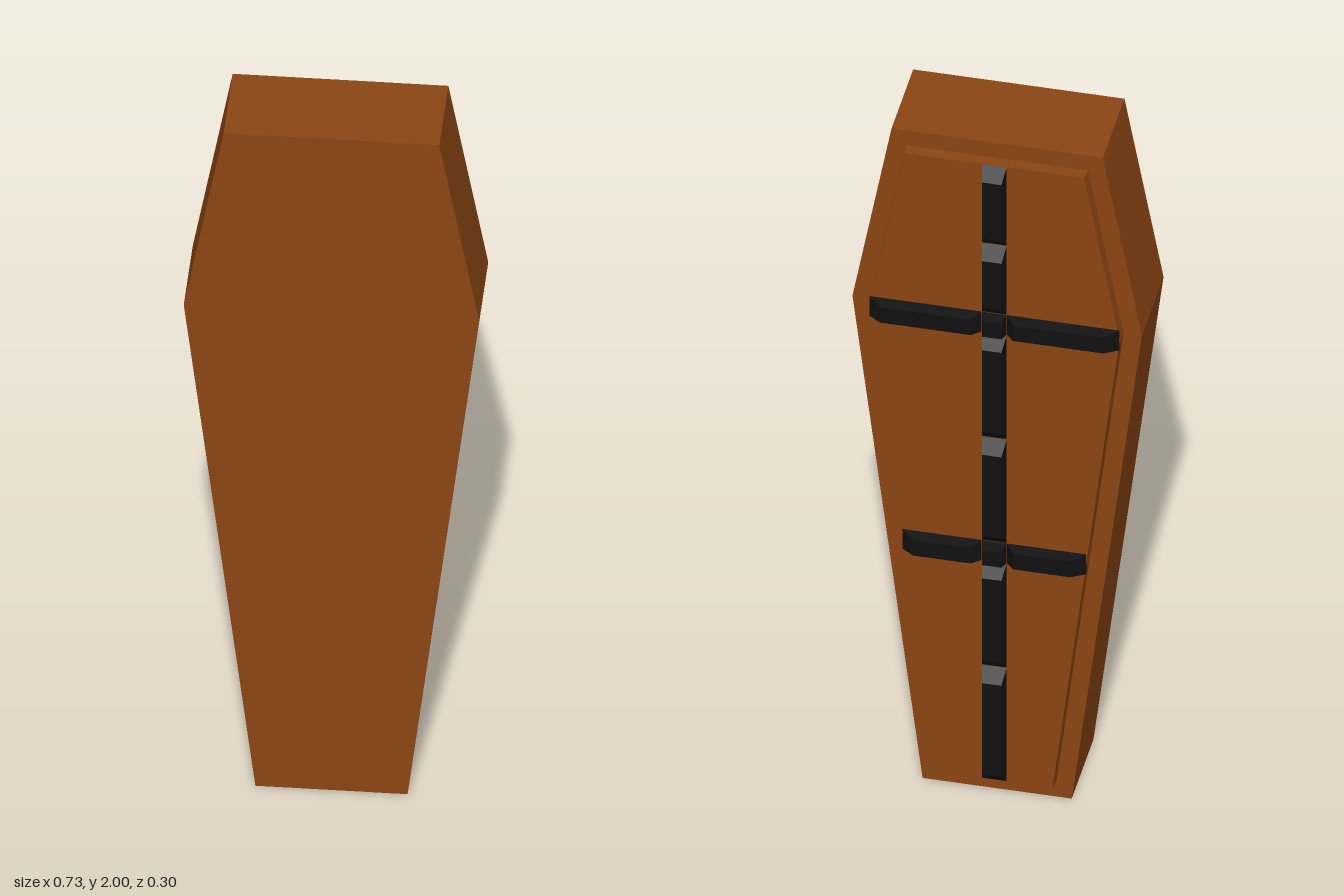
import * as THREE from 'three';

const wood = new THREE.MeshStandardMaterial({ color: 0x8b4513, flatShading: true });
const iron = new THREE.MeshStandardMaterial({ color: 0x111111, flatShading: true });

// Six-sided slab given its half widths and heights; the back (-z) face shrinks by `taper`
function slab(name, [bottomW, midW, topW], [y0, yMid, y1], zBack, zFront, taper = 0) {
  const shape = new THREE.Shape([
    [-bottomW, y0], [bottomW, y0], [midW, yMid], [topW, y1], [-topW, y1], [-midW, yMid],
  ].map(([x, y]) => new THREE.Vector2(x, y)));
  const geo = new THREE.ExtrudeGeometry(shape, { depth: zFront - zBack, bevelEnabled: false });
  geo.translate(0, 0, zBack);
  const p = geo.attributes.position;
  for (let i = 0; i < p.count; i++) {
    if (Math.abs(p.getZ(i) - zBack) < 1e-4) p.setX(i, p.getX(i) - Math.sign(p.getX(i)) * taper);
  }
  geo.computeVertexNormals();
  const mesh = new THREE.Mesh(geo, wood);
  mesh.name = name;
  return mesh;
}

// Iron bar between two corners; the four sides slope inward toward the back
const BAR_FRONT = -0.121, BAR_BACK = -0.151;
function bar(name, [x0, x1], [y0, y1], [left, right], [low, high]) {
  const geo = new THREE.BoxGeometry(1, 1, 1);
  const p = geo.attributes.position;
  for (let i = 0; i < p.count; i++) {
    const k = p.getZ(i) < 0 ? 1 : 0;
    p.setXYZ(i,
      p.getX(i) < 0 ? x0 + k * left : x1 - k * right,
      p.getY(i) < 0 ? y0 + k * low : y1 - k * high,
      k ? BAR_BACK : BAR_FRONT);
  }
  geo.computeVertexNormals();
  const mesh = new THREE.Mesh(geo, iron);
  mesh.name = name;
  return mesh;
}

export function createModel() {
  const group = new THREE.Group();
  group.name = 'coffin';

  // Box and raised lid panel
  group.add(slab('body', [0.187, 0.363, 0.265], [0, 1.465, 2], -0.091, 0.15));
  group.add(slab('lidPanel', [0.149, 0.317, 0.228], [0.05, 1.465, 1.954], -0.122, -0.091, 0.003));

  // Upright straps, broken by notches and by the cross straps
  const half = 0.031, side = 0.007, slope = 0.035;
  const uprights = [[0.05, 0.402], [0.402, 0.727], [0.788, 1.11], [1.11, 1.434], [1.496, 1.71], [1.71, 1.954]];
  for (const span of uprights) {
    group.add(bar('uprightStrap', [-half, half], span, [side, side], [slope, slope]));
  }

  // Cross straps: two arms and a centre stud each
  for (const [y, reach] of [[0.757, 0.231], [1.465, 0.314]]) {
    const span = [y - half, y + half];
    group.add(bar('strapStud', [-half, half], span, [side, side], [side, side]));
    group.add(bar('leftStrapArm', [half, reach], span, [0.022, 0.034], [side, side]));
    group.add(bar('rightStrapArm', [-reach, -half], span, [0.034, 0.022], [side, side]));
  }
  return group;
}
